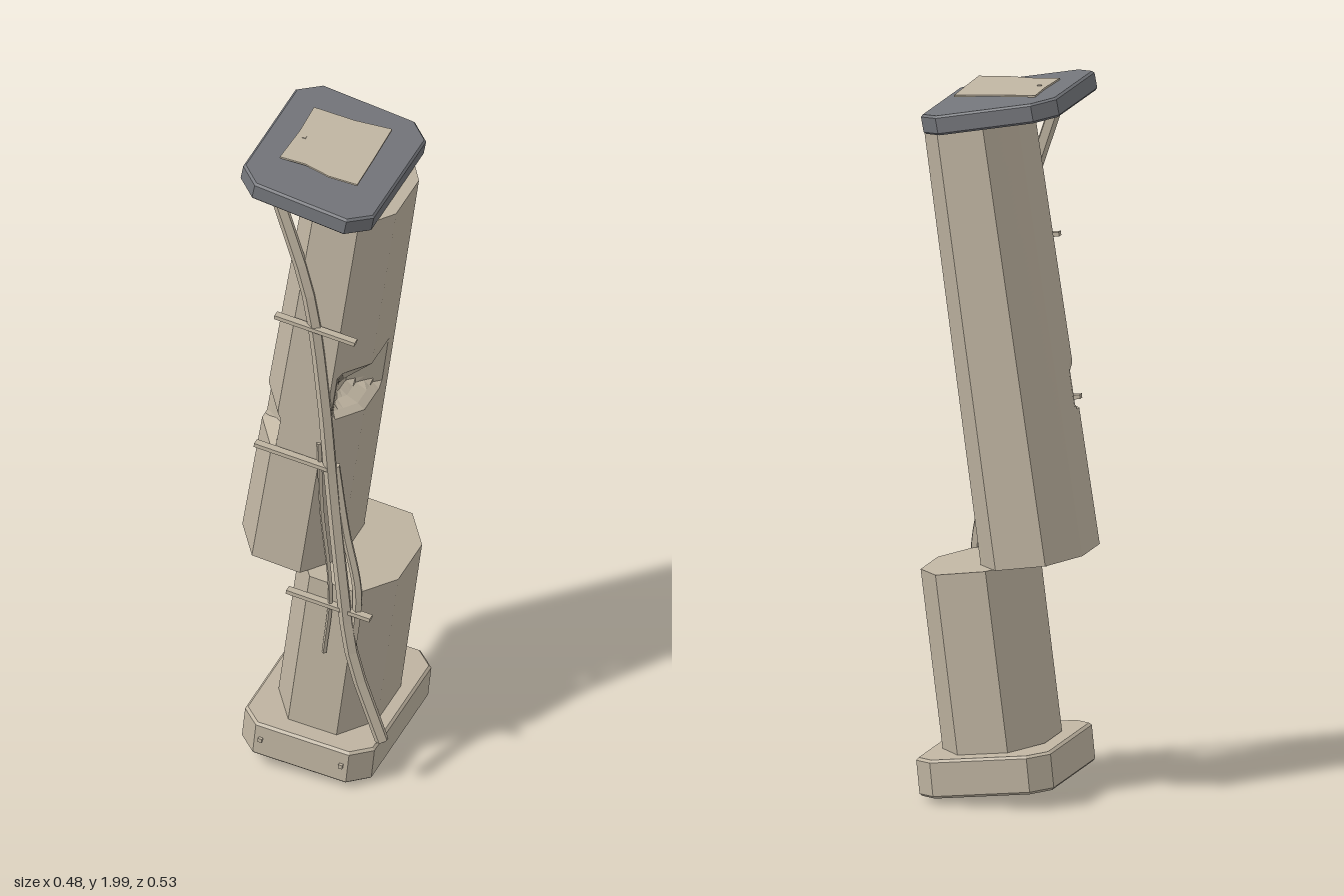
import * as THREE from 'three';

export function createModel() {
  const root = new THREE.Group();
  const stone = new THREE.MeshStandardMaterial({ color: 0xc0b5a2, flatShading: true, side: THREE.DoubleSide });
  stone.name = 'pale stone';
  const slate = new THREE.MeshStandardMaterial({ color: 0x74767b, flatShading: true });
  slate.name = 'grey slate';

  const add = (name, geo, mat, x = 0, y = 0, z = 0, rz = 0, parent = root) => {
    const m = new THREE.Mesh(geo, mat);
    m.name = name;
    m.position.set(x, y, z);
    m.rotation.z = rz;
    parent.add(m);
    return m;
  };

  // Corners of a rectangle with its corners cut off
  const octagon = (hx, hz, cx, cz) => [
    [hx, -hz + cz], [hx, hz - cz], [hx - cx, hz], [-hx + cx, hz],
    [-hx, hz - cz], [-hx, -hz + cz], [-hx + cx, -hz], [hx - cx, -hz],
  ];

  // Slab with cut corners and a small bevel, centred on its own middle
  function slab(hx, hz, cut, h, bevel) {
    const pts = octagon(hx - bevel, hz - bevel, cut, cut).map(p => new THREE.Vector2(...p));
    const g = new THREE.ExtrudeGeometry(new THREE.Shape(pts), {
      depth: h - 2 * bevel, bevelThickness: bevel, bevelSize: bevel, bevelSegments: 1,
    });
    return g.translate(0, 0, bevel - h / 2).rotateX(-Math.PI / 2);
  }

  // Eight-sided shaft, subdivided so that chips can be pressed into its sides
  function shaft(length, taper, rings, split, chips = []) {
    const corners = octagon(0.147, 0.2, 0.075, 0.113), outline = [];
    corners.forEach((a, i) => {
      const b = corners[(i + 1) % 8];
      for (let k = 0; k < split; k++) {
        const t = k / split;
        outline.push([a[0] + (b[0] - a[0]) * t, a[1] + (b[1] - a[1]) * t]);
      }
    });
    const n = outline.length, pos = [], idx = [];
    for (let j = 0; j <= rings; j++) {
      const y = length * j / rings, s = 1 - taper * j / rings;
      for (const [px, pz] of outline) {
        let x = px * s;
        const z = pz * (1 - (1 - s) * 0.5);
        for (const c of chips) {
          if (x * c.side > 0.05) {
            const d = Math.min((y - c.y0) * 2.5, (c.y1 - y) * 0.85, (z - c.z0) * 0.9, (c.z1 - z) * 0.9, c.depth);
            x -= c.side * Math.max(0, d);
          }
        }
        pos.push(x, y, z);
      }
    }
    for (let j = 0; j < rings; j++) {
      for (let i = 0; i < n; i++) {
        const a = j * n + i, b = j * n + (i + 1) % n;
        idx.push(a, a + n, b, b, a + n, b + n);
      }
    }
    // end faces
    const low = pos.length / 3, high = low + 1, last = rings * n;
    pos.push(0, 0, 0, 0, length, 0);
    for (let i = 0; i < n; i++) {
      const k = (i + 1) % n;
      idx.push(low, i, k, high, last + k, last + i);
    }
    const g = new THREE.BufferGeometry();
    g.setAttribute('position', new THREE.Float32BufferAttribute(pos, 3));
    g.setIndex(idx);
    g.computeVertexNormals();
    return g;
  }

  // Base with studs on the front and lumps underneath
  const base = new THREE.Group();
  base.name = 'base';
  base.position.set(0, 0.092, -0.003);
  base.rotation.z = -0.1;
  root.add(base);
  add('baseSlab', slab(0.193, 0.262, 0.05, 0.108, 0.007), stone, 0, 0, 0, 0, base);
  for (const x of [-0.12, 0.12]) {
    add('stud', new THREE.BoxGeometry(0.012, 0.012, 0.012), stone, x, 0.005, 0.265, 0, base);
  }
  for (const [x, z, r] of [[-0.07, 0.13, 0.025], [-0.1, -0.02, 0.024], [0.02, -0.02, 0.034], [0.09, -0.08, 0.03]]) {
    add('footLump', new THREE.CylinderGeometry(r, r * 0.7, 0.03, 7), stone, x, -0.057, z, 0, base);
  }

  // Broken column: lower stump and shifted upper length
  add('lowerShaft', shaft(0.51, 0, 1, 1), stone, 0.01, 0.143, 0, -0.125);
  add('upperShaft', shaft(1.235, 0.08, 90, 8, [
    { side: 1, y0: 0.54, y1: 0.70, z0: -0.045, z1: 0.18, depth: 0.08 },
    { side: -1, y0: 0.39, y1: 0.51, z0: 0.06, z1: 0.21, depth: 0.045 },
  ]), stone, -0.098, 0.672, 0, -0.143);

  // Slate cap
  add('cap', slab(0.197, 0.25, 0.055, 0.055, 0.006), slate, -0.01, 1.938, -0.004, -0.18);

  // Thin wavy sheet on the cap
  const sheetShape = new THREE.Shape([
    [-0.125, -0.105], [-0.05, -0.105], [0.03, -0.128], [0.115, -0.13],
    [0.112, 0], [0.107, 0.145], [0, 0.137], [-0.125, 0.144], [-0.12, 0.03],
  ].map(p => new THREE.Vector2(...p)));
  const sheet = new THREE.ExtrudeGeometry(sheetShape, { depth: 0.005, bevelEnabled: false }).rotateX(-Math.PI / 2);
  add('sheet', sheet, stone, 0, 1.98, 0, -0.05);
  add('sheetPin', new THREE.BoxGeometry(0.011, 0.008, 0.011), stone, -0.097, 1.988, -0.006);

  // Strands running down the front
  function strand(name, points, radius, sides) {
    const curve = new THREE.CatmullRomCurve3(points.map(p => new THREE.Vector3(...p)));
    add(name, new THREE.TubeGeometry(curve, 18, radius, sides), stone);
    for (const t of [0, 1]) {
      const end = add(name + 'End', new THREE.CircleGeometry(radius, sides), stone);
      const p = curve.getPoint(t), dir = curve.getTangent(t).multiplyScalar(t ? 1 : -1);
      end.position.copy(p);
      end.lookAt(p.clone().add(dir));
    }
  }
  strand('mainStrand', [
    [-0.09, 1.9, 0.19], [0, 1.62, 0.2], [0.045, 1.3, 0.205], [0.07, 1, 0.205],
    [0.1, 0.7, 0.21], [0.135, 0.43, 0.212], [0.22, 0.165, 0.208],
  ], 0.02, 5);
  strand('sideStrand', [[0.075, 1.05, 0.19], [0.105, 0.85, 0.195], [0.145, 0.64, 0.2], [0.13, 0.45, 0.205]], 0.014, 5);
  strand('thinStrand', [[0.03, 1.12, 0.2], [0.04, 0.9, 0.205], [0.068, 0.62, 0.21], [0.05, 0.42, 0.212]], 0.007, 4);

  // Clips across the strands
  for (const [x, y, len] of [[0.025, 1.517, 0.24], [-0.045, 1.065, 0.22], [0.065, 0.588, 0.25]]) {
    add('clip', new THREE.BoxGeometry(len, 0.012, 0.022), stone, x, y, 0.212, -0.12);
  }

  return root;
}
